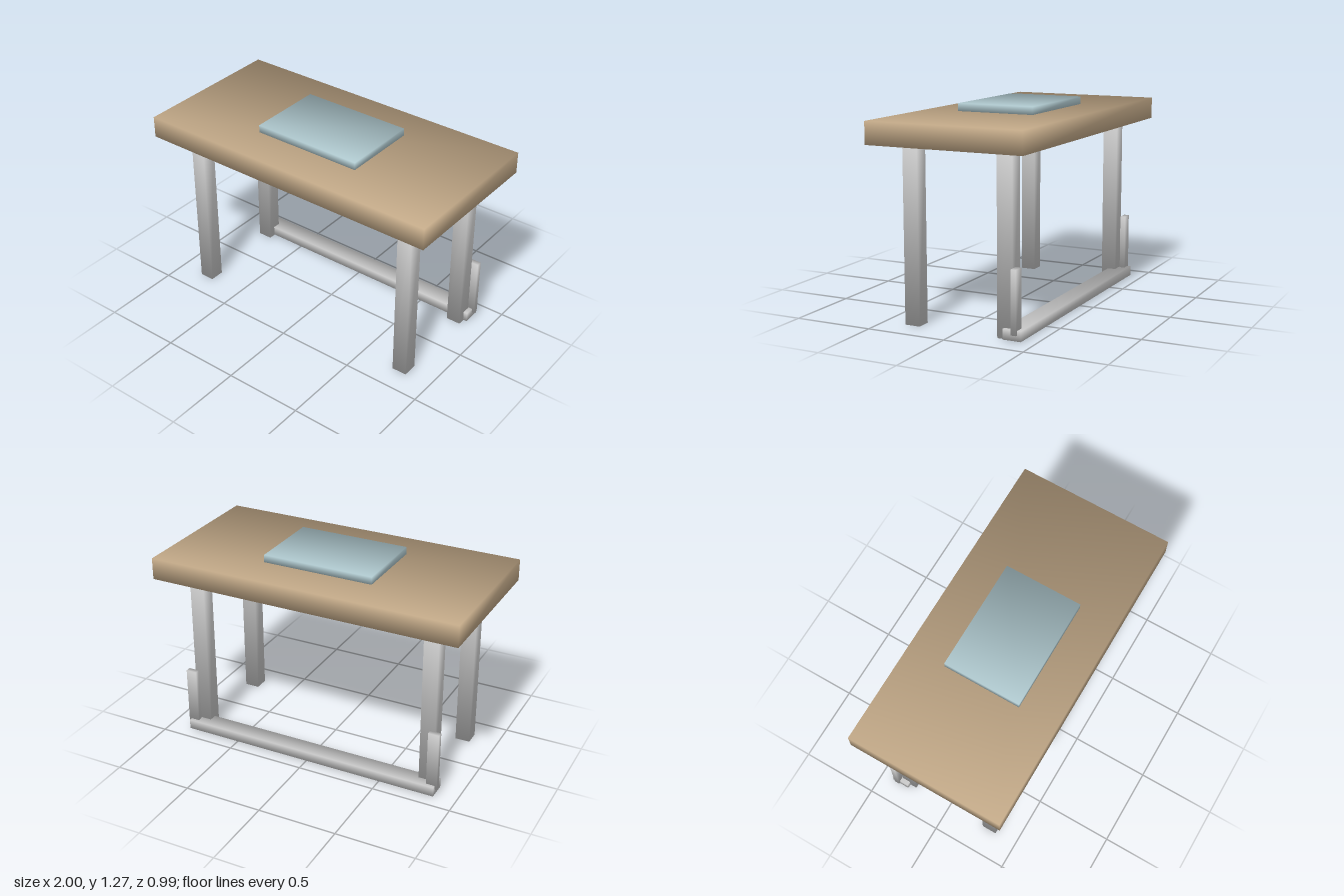
import * as THREE from 'three';

const metal = new THREE.MeshStandardMaterial({ color: 0xcccccc });
const wood = new THREE.MeshStandardMaterial({ color: 0xc8ae8c });
const padColor = new THREE.MeshStandardMaterial({ color: 0xb4ced4 });

// Box with smooth corner normals, given by its extents on each axis
function softBox(name, material, [x0, x1], [y0, y1], [z0, z1]) {
  const geometry = new THREE.BoxGeometry(x1 - x0, y1 - y0, z1 - z0);
  const { position, normal } = geometry.attributes;
  const n = new THREE.Vector3();
  for (let i = 0; i < position.count; i++) {
    n.set(Math.sign(position.getX(i)), Math.sign(position.getY(i)), Math.sign(position.getZ(i))).normalize();
    normal.setXYZ(i, n.x, n.y, n.z);
  }
  const mesh = new THREE.Mesh(geometry, material);
  mesh.name = name;
  mesh.position.set((x0 + x1) / 2, (y0 + y1) / 2, (z0 + z1) / 2);
  return mesh;
}

export function createModel() {
  const table = new THREE.Group();
  table.name = 'table';

  // Table top with a thin pad resting just above it
  table.add(softBox('tableTop', wood, [-1, 1], [1.08, 1.217], [-0.497, 0.497]));
  table.add(softBox('deskPad', padColor, [-0.357, 0.357], [1.222, 1.27], [-0.248, 0.248]));

  for (const [side, s] of [['left', 1], ['right', -1]]) {
    const spanX = (a, b) => (s > 0 ? [a, b] : [-b, -a]);

    // Four square legs
    table.add(softBox(side + 'FrontLeg', metal, spanX(0.737, 0.832), [0, 1.068], [0.257, 0.353]));
    table.add(softBox(side + 'BackLeg', metal, spanX(0.737, 0.832), [0, 1.068], [-0.351, -0.255]));

    // Short upright behind each back leg
    table.add(softBox(side + 'Upright', metal, spanX(0.803, 0.873), [0.04, 0.42], [-0.393, -0.359]));
  }

  // Low bar joining the back legs
  table.add(softBox('backBar', metal, [-0.86, 0.857], [0.004, 0.066], [-0.416, -0.3]));

  return table;
}
